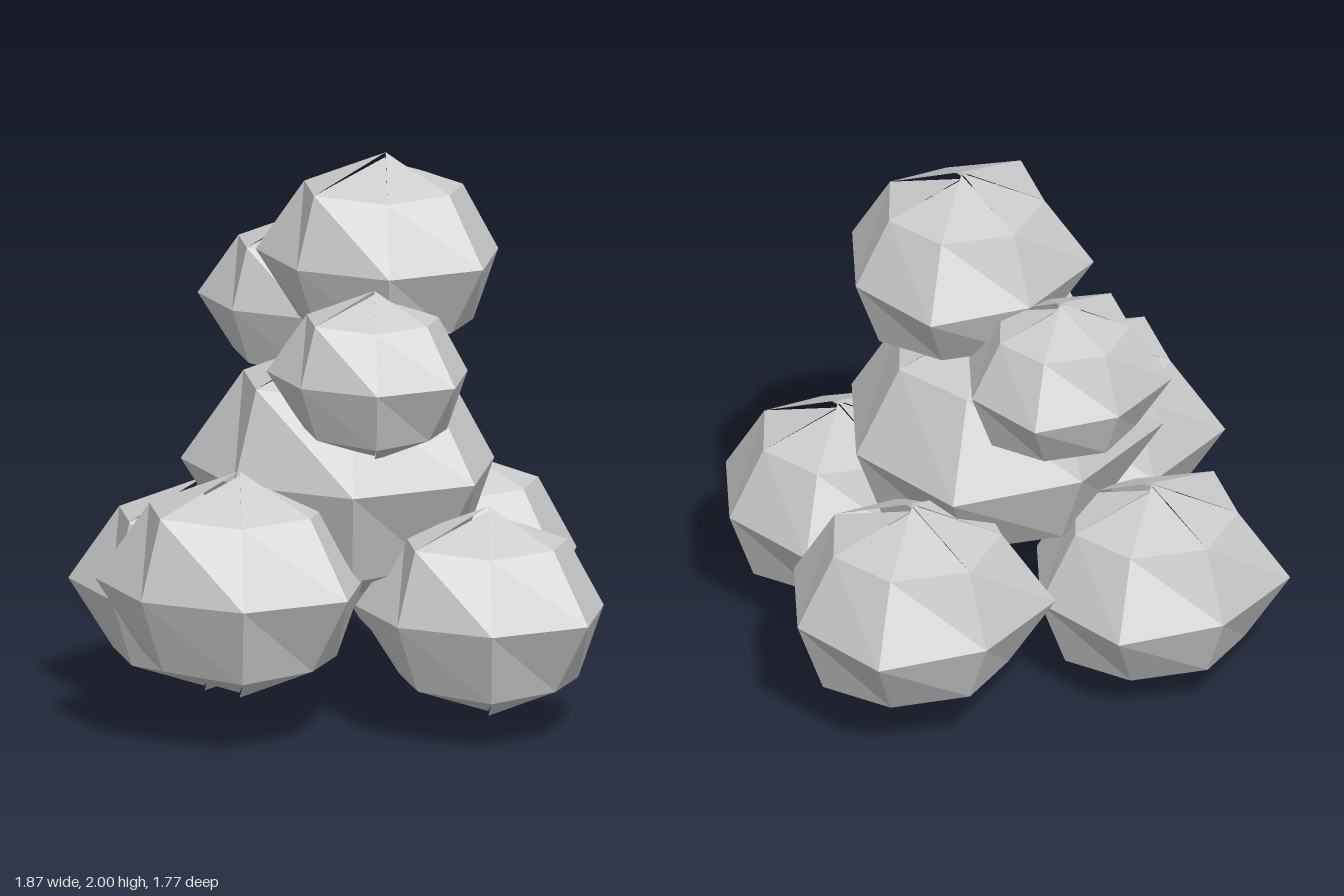
import * as THREE from 'three';

// Radial irregularity of each ring, one value per side, starting at +x
const SIDES = 7;
const RINGS = [
  { r: 0.707, y: [-0.61, -0.6, -0.62, -0.58, -0.57, -0.53, -0.58], f: [1.1, 1.0, 1.16, 1.1, 1.08, 1.07, 1.0] },
  { r: 1, y: [0, 0, 0, 0, 0, 0, 0], f: [1, 1.05, 1.05, 1, 1.14, 0.97, 1.11] },
  { r: 0.707, y: [0.585, 0.61, 0.57, 0.63, 0.62, 0.63, 0.6], f: [0.97, 0.97, 0.87, 1.14, 1.01, 1.06, 1.02] },
];
// Each cap triangle has its own tip height, which leaves the ragged poles
const TOP_TIPS = [0.83, 0.9, 0.86, 0.9, 0.89, 0.87, 0.82];
const BOTTOM_TIPS = [0.88, 0.9, 0.86, 0.9, 0.83, 0.87, 0.81];

// Faceted lump with a radius of about one
function lumpGeometry() {
  const point = (ring, k) => {
    const i = k % SIDES, a = (i / SIDES) * Math.PI * 2, { r, y, f } = RINGS[ring];
    return [Math.cos(a) * r * f[i], y[i], Math.sin(a) * r * f[i]];
  };
  const pos = [];
  const tri = (...corners) => corners.forEach((c) => pos.push(...c));
  for (let k = 0; k < SIDES; k++) {
    tri(point(2, k), [0, TOP_TIPS[k], 0], point(2, k + 1));
    tri(point(0, k), point(0, k + 1), [0, -BOTTOM_TIPS[k], 0]);
    for (let j = 0; j < 2; j++) {
      tri(point(j, k), point(j + 1, k), point(j + 1, k + 1));
      tri(point(j, k), point(j + 1, k + 1), point(j, k + 1));
    }
  }
  const geo = new THREE.BufferGeometry();
  geo.setAttribute('position', new THREE.Float32BufferAttribute(pos, 3));
  geo.computeVertexNormals();
  return geo;
}

export function createModel() {
  const group = new THREE.Group();
  group.name = 'lumpStack';
  const grey = new THREE.MeshStandardMaterial({ color: 0xcccccc, flatShading: true });
  grey.name = 'light grey';
  const geo = lumpGeometry();

  // name, centre x, y, z, radius
  const lumps = [
    ['coreLump', 0.01, 0.89, -0.02, 0.53],
    ['topLump', 0.16, 1.63, -0.08, 0.41],
    ['upperFrontLump', 0, 1.3, 0.38, 0.34],
    ['upperBackLump', 0, 1.38, -0.57, 0.345],
    ['lowerFrontRightLump', -0.47, 0.555, 0.3, 0.455],
    ['lowerFrontLeftLump', 0.4, 0.44, 0.44, 0.42],
    ['lowerBackLeftLump', 0.486, 0.47, -0.37, 0.444],
    ['lowerBackRightLump', -0.4, 0.39, -0.465, 0.43],
  ];
  for (const [name, x, y, z, radius] of lumps) {
    const mesh = new THREE.Mesh(geo, grey);
    mesh.name = name;
    mesh.position.set(x, y, z);
    mesh.scale.setScalar(radius);
    group.add(mesh);
  }
  return group;
}
